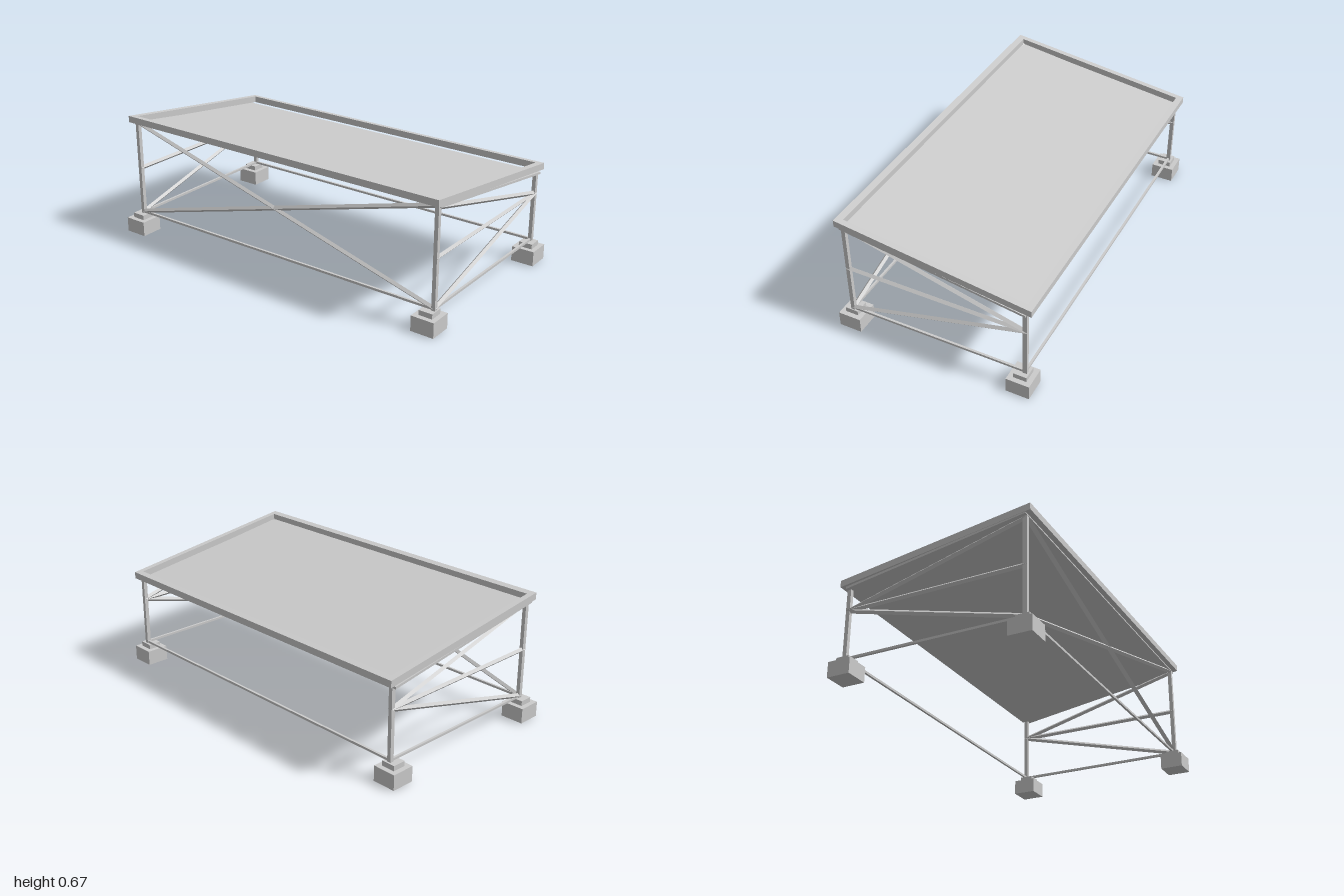
import * as THREE from 'three';

const material = new THREE.MeshStandardMaterial({ color: 0xcccccc, flatShading: true });

export function createModel() {
  const model = new THREE.Group();

  function add(name, geometry, x = 0, y = 0, z = 0) {
    const mesh = new THREE.Mesh(geometry, material);
    mesh.name = name;
    mesh.position.set(x, y, z);
    model.add(mesh);
    return mesh;
  }

  // Four-sided bar with its corners pointing up, down and sideways
  function bar(name, a, b, radius = 0.0125) {
    const from = new THREE.Vector3(...a), to = new THREE.Vector3(...b);
    const dir = to.clone().sub(from);
    const mesh = add(name, new THREE.CylinderGeometry(radius, radius, dir.length(), 4));
    mesh.position.copy(from).add(to).multiplyScalar(0.5);
    mesh.quaternion.setFromUnitVectors(new THREE.Vector3(0, 1, 0), dir.normalize());
  }

  // Slopes a flat geometry along z while its ends stay vertical
  function slope(geometry, rise, height) {
    const matrix = new THREE.Matrix4().set(1, 0, 0, 0, 0, 1, rise, height, 0, 0, 1, 0, 0, 0, 0, 1);
    geometry.applyMatrix4(matrix);
    geometry.computeVertexNormals();
    return geometry;
  }

  const left = 0.94, right = -0.935, front = 0.465, back = -0.485;
  const base = 0.11, middle = 0.37, top = 0.628;

  // Posts on stepped footings
  const corners = [
    [left, front, 0.918], [right, front, -0.94], [left, back, 0.937], [right, back, -0.94],
  ];
  for (const [x, z, footX] of corners) {
    const footZ = Math.sign(z) * 0.47;
    const postTop = z > 0 ? 0.632 : 0.488;
    add('footing', new THREE.BoxGeometry(0.124, 0.08, 0.122), footX, 0.04, footZ);
    add('footingPad', new THREE.BoxGeometry(0.074, 0.026, 0.07), footX, 0.093, footZ);
    add('post', new THREE.BoxGeometry(0.02, postTop - 0.1, 0.021), x, (postTop + 0.1) / 2, z);
  }

  // Side frames: middle rail with two braces meeting at the back post
  for (const x of [left, right]) {
    bar('sideRail', [x, middle, front + 0.01], [x, middle, back - 0.01]);
    bar('lowerSideBrace', [x, base + 0.005, front], [x, middle, back - 0.006]);
    bar('upperSideBrace', [x, top - 0.01, front], [x, middle, back - 0.006]);
    add('bottomSideRail', new THREE.BoxGeometry(0.012, 0.012, front - back), x, 0.113, (front + back) / 2);
  }

  // Crossed braces on the front
  bar('frontBrace', [right, top, front], [left, base + 0.005, front]);
  bar('frontBrace', [right, base + 0.005, front], [left, top, front]);

  // Long bottom rails
  for (const z of [front, back]) {
    add('bottomLongRail', new THREE.BoxGeometry(left - right, 0.012, 0.012), 0, 0.113, z);
  }

  // Sloping rim around the top
  const rect = (path, x0, x1, z0, z1) =>
    path.moveTo(x0, z0).lineTo(x1, z0).lineTo(x1, z1).lineTo(x0, z1).closePath();
  const outline = new THREE.Shape();
  rect(outline, -0.965, 0.965, -0.525, 0.503);
  const opening = new THREE.Path();
  rect(opening, -0.935, 0.933, -0.492, 0.467);
  outline.holes.push(opening);
  const rim = new THREE.ExtrudeGeometry(outline, { depth: 0.035, bevelEnabled: false });
  rim.rotateX(Math.PI / 2);
  add('roofRim', slope(rim, 0.136, 0.601));

  // Thin sheet under the rim, slightly steeper than it
  const sheet = new THREE.BoxGeometry(1.926, 0.012, 0.97).translate(0, 0, -0.008);
  add('roofSheet', slope(sheet, 0.15, 0.558));

  return model;
}
